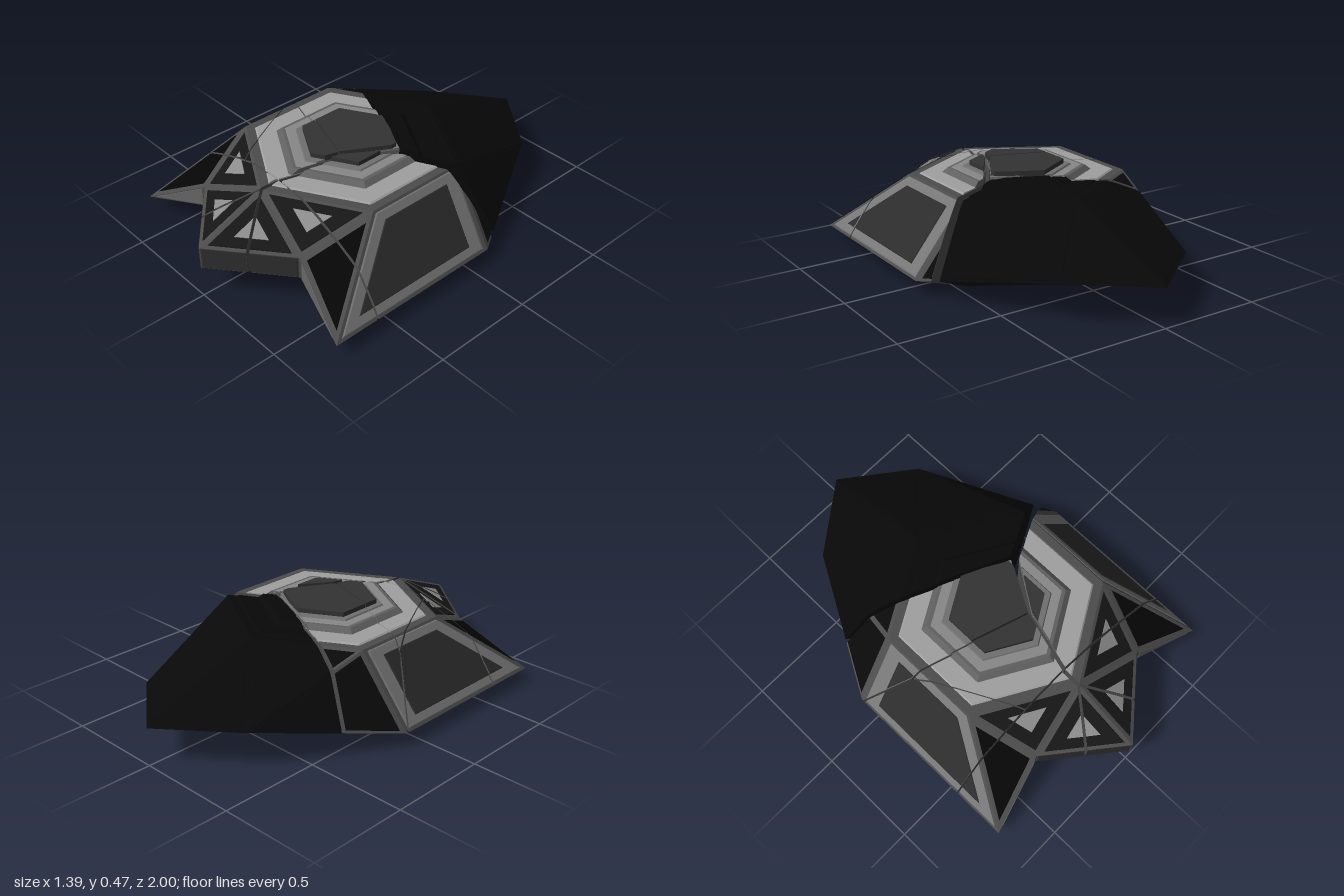
import * as THREE from 'three';

const V = (x, y, z) => new THREE.Vector3(x, y, z);
const CORE = V(0, 0.2, 0.1);

const centroid = (pts) => pts.reduce((s, p) => s.add(p), V(0, 0, 0)).divideScalar(pts.length);
const normalOf = (p) => p[1].clone().sub(p[0]).cross(p[2].clone().sub(p[0])).normalize();

// Order the corners so the face looks away from a given inner point
function outward(pts, inner = CORE) {
  const d = normalOf(pts).dot(centroid(pts).sub(inner));
  return d < 0 ? pts.slice().reverse() : pts;
}

const mirrored = (pts) => pts.map((p) => V(-p.x, p.y, p.z));
const bothSides = (list) => list.flatMap((f) => [outward(f), outward(mirrored(f))]);

// Regular hexagon with a corner pointing to the front
function hexagon(r, y) {
  return Array.from({ length: 6 }, (_, i) => {
    const a = (i * Math.PI) / 3;
    return V(Math.sin(a) * r, y, 0.13 + Math.cos(a) * r);
  });
}

// Solid between two hexagons
function hexTier(r0, y0, r1, y1) {
  const lo = hexagon(r0, y0), hi = hexagon(r1, y1);
  const inner = V(0, (y0 + y1) / 2, 0.13);
  const faces = [outward(lo, inner), outward(hi, inner)];
  for (let i = 0; i < 6; i++) {
    const j = (i + 1) % 6;
    faces.push(outward([lo[i], lo[j], hi[j], hi[i]], inner));
  }
  return faces;
}

// Raised plate with bevelled rim, lying on a hull face
function plate(face, scale, lift) {
  const c = centroid(face), n = normalOf(face);
  const base = face.map((p) => c.clone().lerp(p, scale));
  const top = face.map((p) => c.clone().lerp(p, scale * 0.97).addScaledVector(n, lift));
  const rim = base.map((p, i) => {
    const j = (i + 1) % base.length;
    return [p, base[j], top[j], top[i]];
  });
  return [top, ...rim];
}

// Keep the part of the faces in front of a plane; optionally close the cut
function clip(faces, plane, cap) {
  const out = [], cuts = [];
  for (const f of faces) {
    const d = f.map((p) => plane.distanceToPoint(p));
    const kept = [];
    let leave = null, enter = null;
    f.forEach((p, i) => {
      const j = (i + 1) % f.length;
      if (d[i] >= 0) kept.push(p);
      if ((d[i] >= 0) !== (d[j] >= 0)) {
        const q = p.clone().lerp(f[j], d[i] / (d[i] - d[j]));
        kept.push(q);
        if (d[i] >= 0) leave = q; else enter = q;
      }
    });
    if (kept.length > 2) out.push(kept);
    if (leave && enter) cuts.push([enter, leave]);
  }
  if (cap && cuts.length > 2) {
    const c = centroid(cuts.flat());
    cuts.forEach(([a, b]) => out.push([a, b, c]));
  }
  return out;
}

// Vertical planes around a convex outline in x and z, moved inwards by a gap
function fragmentPlanes(outline, gap) {
  const mid = centroid(outline.map(([x, z]) => V(x, 0, z)));
  return outline.map(([x, z], i) => {
    const [x2, z2] = outline[(i + 1) % outline.length];
    const n = V(z2 - z, 0, x - x2).normalize();
    if (n.dot(mid.clone().sub(V(x, 0, z))) < 0) n.negate();
    return new THREE.Plane().setFromNormalAndCoplanarPoint(n, V(x, 0, z).addScaledVector(n, gap));
  });
}

function toMesh(faces, name, color) {
  const pos = [];
  for (const f of faces) {
    for (let i = 1; i < f.length - 1; i++) {
      for (const p of [f[0], f[i], f[i + 1]]) pos.push(p.x, p.y, p.z);
    }
  }
  const geo = new THREE.BufferGeometry();
  geo.setAttribute('position', new THREE.Float32BufferAttribute(pos, 3));
  geo.computeVertexNormals();
  const mat = new THREE.MeshStandardMaterial({ color, flatShading: true, side: THREE.DoubleSide });
  const mesh = new THREE.Mesh(geo, mat);
  mesh.name = name;
  return mesh;
}

export function createModel() {
  // Hull corners of the +x half; deck and keel are equal hexagons
  const R = 0.52;
  const deck = hexagon(R, 0.41), keel = hexagon(R, 0);
  const [A0, A1, A2, A3] = deck, [D0, D1, D2, D3] = keel;
  const bowTop = V(0, 0.27, 1), bowLow = V(0, 0.16, 1);
  const cheekTop = V(0.345, 0.27, 0.72), cheekLow = V(0.345, 0.16, 0.72);
  const wingTip = V(0.695, 0.07, 0.82), wingRear = V(0.695, 0.07, -0.1);
  const sternSide = V(0.335, 0.19, -0.74), stern = V(0, 0.185, -1);

  const bowRoof = bothSides([[A0, bowTop, cheekTop], [A0, cheekTop, A1]]);
  const bowWall = bothSides([[bowTop, bowLow, cheekLow, cheekTop]]);
  const bowBelly = bothSides([[bowLow, D0, cheekLow], [D0, D1, cheekLow]]);
  const wingFront = bothSides([[A1, cheekTop, wingTip]]);
  const wingCheek = bothSides([[cheekTop, cheekLow, wingTip]]);
  const wingUnder = bothSides([[cheekLow, D1, wingTip], [D1, D2, wingRear, wingTip]]);
  const wingSide = bothSides([[A1, A2, wingRear, wingTip]]);
  const sternTop = bothSides([[A2, sternSide, wingRear], [A2, A3, sternSide], [A3, stern, sternSide]]);
  const sternUnder = bothSides([[D2, sternSide, wingRear], [D2, D3, sternSide], [D3, stern, sternSide]]);
  const hull = [outward(deck), outward(keel), ...bowRoof, ...bowWall, ...bowBelly, ...wingFront,
    ...wingCheek, ...wingUnder, ...wingSide, ...sternTop, ...sternUnder];

  const plates = (faces, scale, lift) => faces.flatMap((f) => plate(f, scale, lift));
  // name, colour, faces, closed solid
  const parts = [
    ['hull', 0x4c4c4c, hull, true],
    ['bowRoofPanel', 0x161616, plates(bowRoof, 0.84, 0.003)],
    ['bowRoofLight', 0x8c8c8c, plates(bowRoof, 0.36, 0.006)],
    ['bowWallPanel', 0x303030, plates(bowWall, 0.97, 0.002)],
    ['bowBellyPanel', 0x222222, plates(bowBelly, 0.97, 0.002)],
    ['wingFrontPanel', 0x060606, plates(wingFront, 0.8, 0.003)],
    ['wingCheekPanel', 0x666666, plates(wingCheek, 0.85, 0.002)],
    ['wingSideFrame', 0x777777, plates(wingSide, 0.94, 0.003)],
    ['wingSidePanel', 0x2c2c2c, plates(wingSide, 0.74, 0.007)],
    ['sternPanel', 0x0a0a0a, plates(sternTop, 0.9, 0.002)],
    ['deckRing', 0xa0a0a0, hexTier(0.48, 0.405, 0.465, 0.416), true],
    ['deckStep', 0x606060, hexTier(0.37, 0.41, 0.335, 0.438), true],
    ['deckStepTop', 0x888888, hexTier(0.325, 0.43, 0.315, 0.441), true],
    ['hatchCollar', 0x707070, hexTier(0.27, 0.435, 0.26, 0.448), true],
    ['hatch', 0x333333, hexTier(0.23, 0.435, 0.23, 0.47), true],
  ];

  // Broken pieces as outlines in x and z
  const F = 2;
  const fragments = [
    ['rearFragment', 0.004, [[0.23, 0], [1.2, -0.49], [1.2, -F], [-1.2, -F], [-1.2, -0.66]]],
    ['rightDeckFragment', 0.004, [[0.25, 0.03], [1.2, -0.45], [1.2, 0.61], [0.015, 0.55], [0.095, 0.26]]],
    ['leftRearFragment', 0.005, [[0.225, 0.01], [-1.2, -0.65], [-1.2, -0.49], [-0.5, 0.07], [0.08, 0.26]]],
    ['leftWingFragment', 0.003, [[-1.2, -0.49], [-0.5, 0.07], [-0.25, 0.55], [-1.2, 0.55]]],
    ['leftDeckFragment', 0.003, [[-0.5, 0.07], [0.08, 0.26], [0, 0.55], [-0.25, 0.55]]],
    ['leftBowFragment', 0.005, [[-1.2, 0.55], [-0.005, 0.55], [-0.005, 0.65], [-1.05, F], [-1.2, F]]],
    ['rightBowFragment', 0.005, [[1.2, 0.61], [0.005, 0.55], [0.005, 0.65], [1.05, F], [1.2, F]]],
    ['bowFragment', 0.004, [[0, 0.65], [1.04, F], [-1.04, F]]],
  ];

  const model = new THREE.Group();
  model.name = 'brokenHull';
  for (const [name, gap, outline] of fragments) {
    const group = new THREE.Group();
    group.name = name;
    const planes = fragmentPlanes(outline, gap);
    for (const [partName, color, faces, solid] of parts) {
      const cut = planes.reduce((f, p) => clip(f, p, solid), faces);
      // The rear piece is charred black
      if (cut.length) group.add(toMesh(cut, partName, name === 'rearFragment' ? 0x080808 : color));
    }
    model.add(group);
  }
  return model;
}
